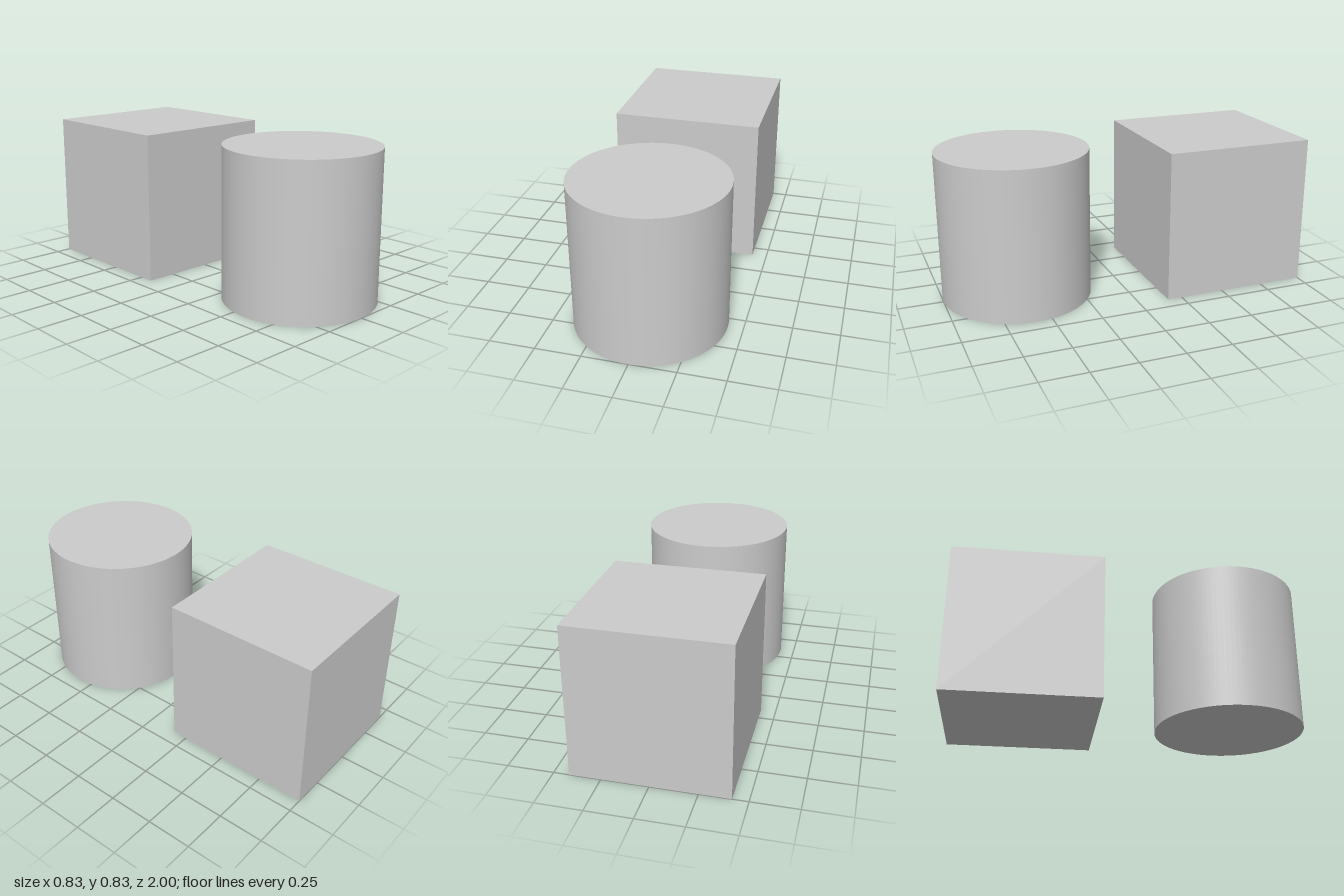
import * as THREE from 'three';

export function createModel() {
  const group = new THREE.Group();
  const material = new THREE.MeshStandardMaterial({ color: 0xcccccc });
  const size = 5 / 6; // width, height and depth of both solids
  const offset = 1 - size / 2;

  const add = (name, geometry, z) => {
    const mesh = new THREE.Mesh(geometry, material);
    mesh.name = name;
    mesh.position.set(0, size / 2, z);
    group.add(mesh);
  };

  // Smooth cylinder in front
  add('cylinder', new THREE.CylinderGeometry(size / 2, size / 2, size, 96), offset);
  // Cube behind
  add('cube', new THREE.BoxGeometry(size, size, size), -offset);

  return group;
}
